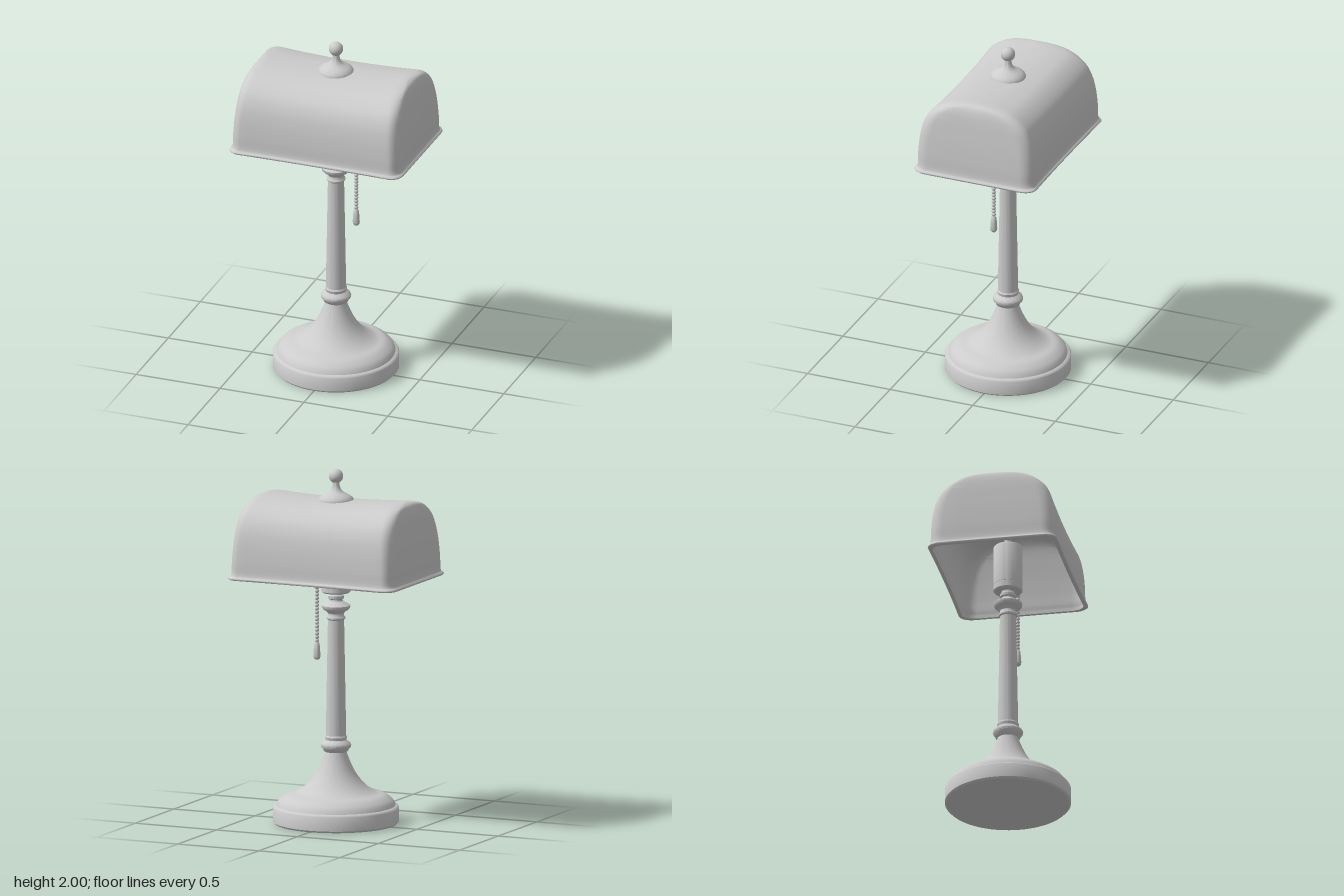
import * as THREE from 'three';
import { toCreasedNormals } from 'three/addons/utils/BufferGeometryUtils.js';

const grey = new THREE.MeshStandardMaterial({ color: 0xcccccc });
grey.name = 'light grey';

function part(name, geometry, x = 0, y = 0, z = 0) {
  const mesh = new THREE.Mesh(geometry, grey);
  mesh.name = name;
  mesh.position.set(x, y, z);
  return mesh;
}

// Turned part from [radius, height] pairs, bottom to top
function turned(points, segments = 56) {
  const profile = points.map(([r, y]) => new THREE.Vector2(r, y));
  return toCreasedNormals(new THREE.LatheGeometry(profile, segments), 0.7);
}

// Plan outline of the shade: rectangle with elliptical corners
function outline(hx, hz) {
  const rx = 0.06, rz = Math.min(hz, 0.075), points = [];
  const corners = [[1, 1, 0], [-1, 1, 1], [-1, -1, 2], [1, -1, 3]];
  corners.forEach(([sx, sz, quarter], k) => {
    for (let i = 0; i <= 8; i++) {
      const a = (quarter + i / 8) * Math.PI / 2;
      points.push([sx * (hx - rx) + rx * Math.cos(a), sz * (hz - rz) + rz * Math.sin(a)]);
    }
    // straight run to the next corner
    const [nx, nz] = corners[(k + 1) % 4];
    const [ax, az] = points[points.length - 1];
    const bx = k % 2 ? nx * hx : nx * (hx - rx);
    const bz = k % 2 ? nz * (hz - rz) : nz * hz;
    const steps = k % 2 ? 6 : 20;
    for (let i = 1; i < steps; i++) {
      points.push([ax + (bx - ax) * i / steps, az + (bz - az) * i / steps]);
    }
  });
  return points;
}

// Hollow arched shade: outer skin down to the rim, inner skin back up
function shadeGeometry() {
  // half length, height, half depth
  const profile = new THREE.CatmullRomCurve3([
    [0.41, 1.846, 0], [0.43, 1.842, 0.08], [0.447, 1.832, 0.14], [0.46, 1.815, 0.2],
    [0.47, 1.785, 0.25], [0.478, 1.74, 0.295], [0.485, 1.68, 0.325], [0.493, 1.6, 0.343],
    [0.5, 1.5, 0.352], [0.505, 1.412, 0.356], [0.514, 1.403, 0.365], [0.516, 1.396, 0.367],
    [0.511, 1.39, 0.362],
  ].map((p) => new THREE.Vector3(...p)));
  const outer = profile.getPoints(60);
  const wall = 0.012;
  const inner = outer.slice().reverse().map((p) => {
    const rise = THREE.MathUtils.clamp((p.y - 1.4) / 0.446, 0, 1);
    return new THREE.Vector3(Math.min(p.x, 0.505) - wall, p.y - wall * rise,
      Math.max(Math.min(p.z, 0.356) - wall, 0));
  });

  const positions = [], index = [];
  const levels = [...outer, ...inner];
  let count = 0;
  for (const p of levels) {
    const loop = outline(p.x, p.z);
    count = loop.length;
    const rise = THREE.MathUtils.clamp((p.y - 1.4) / 0.446, 0, 1);
    for (const [x, z] of loop) {
      // saddle: the middle sags and narrows slightly
      const middle = Math.max(0, 1 - (x / 0.45) ** 2);
      positions.push(x, p.y - 0.018 * middle * rise, z * (1 - 0.015 * middle));
    }
  }
  for (let i = 0; i < levels.length - 1; i++) {
    for (let j = 0; j < count; j++) {
      const a = i * count + j, b = i * count + (j + 1) % count;
      index.push(a, b, a + count, b, b + count, a + count);
    }
  }
  const geometry = new THREE.BufferGeometry();
  geometry.setAttribute('position', new THREE.Float32BufferAttribute(positions, 3));
  geometry.setIndex(index);
  return toCreasedNormals(geometry, 0.9);
}

export function createModel() {
  const lamp = new THREE.Group();
  lamp.name = 'deskLamp';

  // Stepped foot with a flared neck
  lamp.add(part('base', turned([
    [0, 0], [0.342, 0], [0.352, 0.01], [0.352, 0.088], [0.345, 0.098], [0.332, 0.102],
    [0.325, 0.12], [0.31, 0.138], [0.288, 0.152], [0.268, 0.165], [0.245, 0.167],
    [0.21, 0.182], [0.175, 0.206], [0.145, 0.235], [0.12, 0.268], [0.098, 0.305],
    [0.08, 0.345], [0.066, 0.38], [0.058, 0.405], [0, 0.405],
  ], 72)));

  lamp.add(part('lowerCollar', turned([
    [0.055, 0.4], [0.068, 0.408], [0.073, 0.42], [0.083, 0.43], [0.085, 0.44], [0.08, 0.452],
    [0.066, 0.462], [0.058, 0.47], [0.06, 0.478], [0.062, 0.486], [0.058, 0.494], [0.053, 0.5],
  ])));

  lamp.add(part('column', turned([[0.057, 0.49], [0.054, 0.65], [0.045, 1.16]])));

  lamp.add(part('upperCollar', turned([
    [0.045, 1.148], [0.052, 1.154], [0.053, 1.162], [0.046, 1.17], [0.045, 1.185],
    [0.055, 1.198], [0.07, 1.206], [0.079, 1.216], [0.08, 1.23], [0.07, 1.238],
    [0.052, 1.246], [0.038, 1.256], [0.037, 1.264], [0.045, 1.27], [0.046, 1.285],
    [0.038, 1.292], [0.036, 1.31],
  ])));

  lamp.add(part('socket', turned([
    [0, 1.302], [0.074, 1.302], [0.081, 1.309], [0.081, 1.34], [0.079, 1.343],
    [0.081, 1.346], [0.081, 1.57], [0.074, 1.58], [0, 1.58],
  ])));
  lamp.add(part('shadeRod', new THREE.CylinderGeometry(0.02, 0.02, 0.27, 20), 0, 1.705, 0));

  lamp.add(part('shade', shadeGeometry()));

  // Cap and ball on top of the shade
  lamp.add(part('finialCap', turned([
    [0.099, 1.805], [0.1, 1.825], [0.094, 1.838], [0.08, 1.85], [0.062, 1.86], [0.046, 1.868],
    [0.034, 1.878], [0.025, 1.892], [0.02, 1.91], [0.019, 1.935],
  ])));
  lamp.add(part('finialBall', new THREE.SphereGeometry(0.04, 32, 20), 0, 1.96, 0));

  // Pull switch: arm, beaded chain and weight
  const pull = new THREE.Group();
  pull.name = 'pullSwitch';
  pull.position.set(0.132, 0, 0.03);
  const arm = part('switchArm', new THREE.CylinderGeometry(0.011, 0.011, 0.1, 14), -0.04, 1.48, 0);
  arm.rotation.z = Math.PI / 2;
  pull.add(arm);
  const bead = new THREE.SphereGeometry(0.012, 12, 8);
  for (let y = 1.015; y < 1.485; y += 0.02) pull.add(part('chainBead', bead, 0, y, 0));
  pull.add(part('chainCord', new THREE.CylinderGeometry(0.006, 0.006, 0.48, 8), 0, 1.24, 0));
  pull.add(part('pullWeight', turned([
    [0, 0.907], [0.012, 0.909], [0.018, 0.916], [0.02, 0.928], [0.018, 0.965],
    [0.015, 0.995], [0.01, 1.005], [0, 1.008],
  ], 24)));
  lamp.add(pull);

  return lamp;
}
